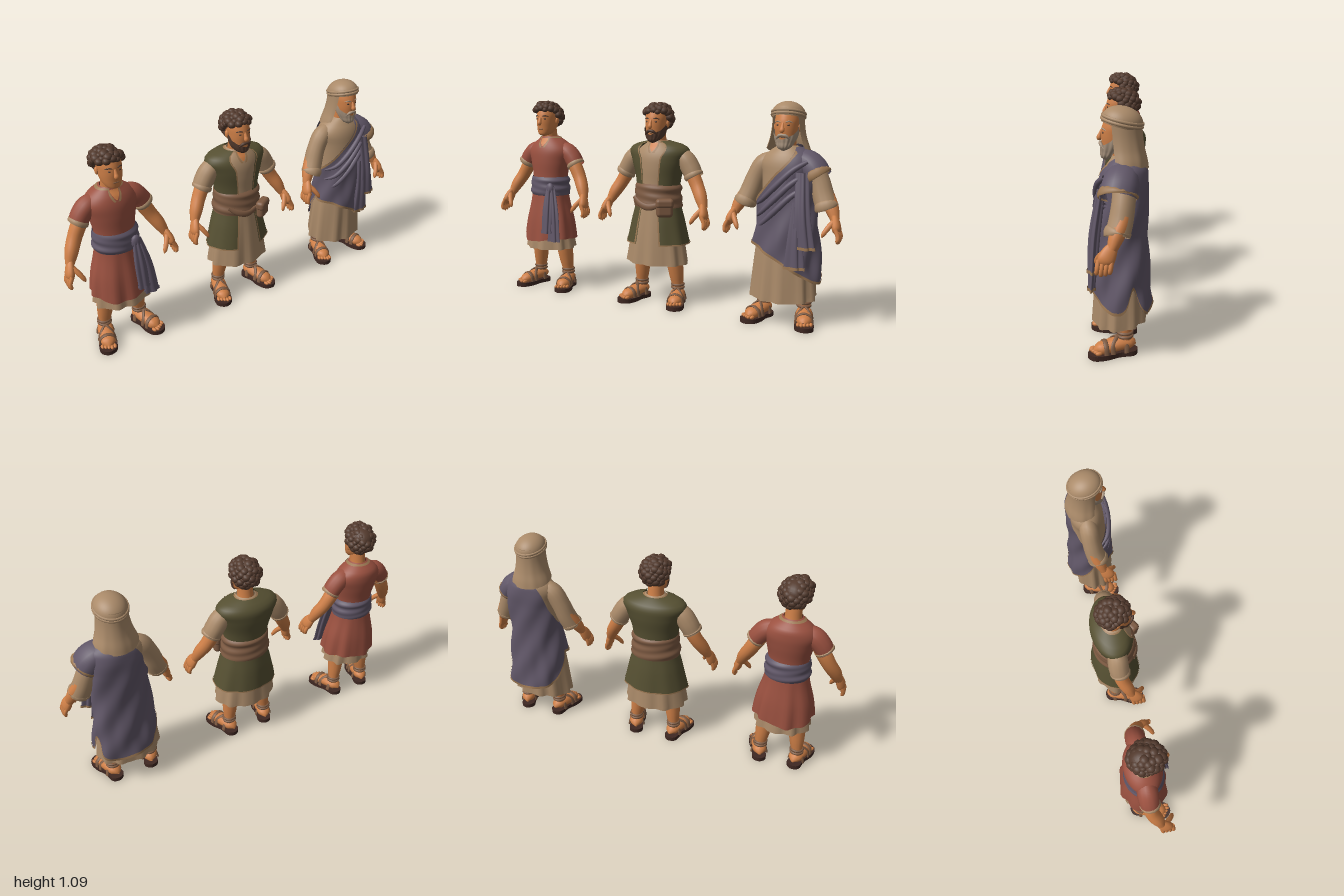
import * as THREE from 'three';
import { mergeGeometries, mergeVertices } from 'three/addons/utils/BufferGeometryUtils.js';
import { RoundedBoxGeometry } from 'three/addons/geometries/RoundedBoxGeometry.js';

const PI = Math.PI;
const paint = (name, color) => {
  const m = new THREE.MeshStandardMaterial({ color, side: THREE.DoubleSide });
  m.name = name;
  return m;
};
const skin = paint('skin', 0xce7f47), linen = paint('linen', 0xaa8a69), red = paint('red cloth', 0x9b5140),
  green = paint('green cloth', 0x565032), indigo = paint('indigo cloth', 0x615768), hair = paint('dark hair', 0x533a2d),
  leather = paint('leather', 0x7d5a42), sole = paint('sole', 0x3f2822), grey = paint('grey beard', 0xa6917c),
  trim = paint('trim', 0x9b7752);

function add(parent, name, geometry, material, x = 0, y = 0, z = 0) {
  const m = new THREE.Mesh(geometry, material);
  m.name = name;
  m.position.set(x, y, z);
  parent.add(m);
  return m;
}

// smooth curve through rows of [x, values...]
function smooth(rows) {
  const c = new THREE.CubicInterpolant(rows.map(r => r[0]), rows.flatMap(r => r.slice(1)), rows[0].length - 1);
  return x => c.evaluate(x);
}
const val = (f, t) => typeof f === 'function' ? f(t) : f;

// upright surface through ellipses [y, rx, rz, cz, cx]; angle 0 is the front, PI/2 the model's left
function shell(profile, { lo = profile[0][0], hi = profile.at(-1)[0], arc, grow = 0, fold, segs = 56, rows = 22 } = {}) {
  const at = smooth(profile), n = arc ? segs + 1 : segs, pos = [], idx = [];
  for (let i = 0; i <= rows; i++) for (let j = 0; j < n; j++) {
    const v = i / rows, [a, b] = arc ? arc(v) : [-PI / 2, 1.5 * PI], t = a + (b - a) * j / segs;
    const y = val(lo, t) + (val(hi, t) - val(lo, t)) * v;
    const [rx, rz, cz, cx = 0] = at(y), f = 1 + (fold ? fold(t, y) : 0);
    pos.push(cx + (rx + grow) * f * Math.sin(t), y, cz + (rz + grow) * f * Math.cos(t));
    if (i < rows && j < segs) {
      const p = i * n + j, q = i * n + (j + 1) % n;
      idx.push(p, q, q + n, p, q + n, p + n);
    }
  }
  const g = new THREE.BufferGeometry();
  g.setAttribute('position', new THREE.Float32BufferAttribute(pos, 3));
  g.setIndex(idx);
  g.computeVertexNormals();
  return g;
}

// tube of changing radius through points [x, y, z, r]
function limb(pts, flat = [1, 1, 1], n = 16, seg = 14) {
  const path = new THREE.CatmullRomCurve3(pts.map(p => new THREE.Vector3(p[0], p[1], p[2])));
  const radius = smooth(pts.map((p, i) => [i / (pts.length - 1), p[3]]));
  const g = new THREE.TubeGeometry(path, n, 1, seg), P = g.attributes.position, v = new THREE.Vector3();
  for (let k = 0; k < P.count; k++) {
    const u = Math.floor(k / (seg + 1)) / n, c = path.getPointAt(u), r = radius(path.getUtoTmapping(u))[0];
    v.fromBufferAttribute(P, k).sub(c).multiplyScalar(r);
    P.setXYZ(k, c.x + v.x * flat[0], c.y + v.y * flat[1], c.z + v.z * flat[2]);
  }
  g.deleteAttribute('uv');
  g.deleteAttribute('normal');
  const out = mergeVertices(g, 1e-5);
  out.computeVertexNormals();
  return out;
}
const ball = (rx, ry, rz, w = 20) => new THREE.SphereGeometry(1, w, w * 0.7 | 0).scale(rx, ry, rz);

// builds the same part on both sides
function pair(parent, name, dx, make) {
  for (const s of [1, -1]) {
    const g = new THREE.Group();
    g.name = (s > 0 ? 'left' : 'right') + name;
    g.scale.x = s;
    g.position.x = s * dx;
    make(g);
    parent.add(g);
  }
}

function addHead(f, beard, brow) {
  add(f, 'neck', shell([[0.83, 0.05, 0.05, -0.025], [0.87, 0.042, 0.043, -0.02], [0.93, 0.04, 0.042, -0.012]]), skin);
  add(f, 'head', shell([[0.882, 0.004, 0.004, 0.04], [0.888, 0.025, 0.026, 0.035], [0.905, 0.042, 0.047, 0.02], [0.935, 0.053, 0.064, 0.006],
    [0.97, 0.057, 0.072, 0], [1.01, 0.058, 0.074, -0.008], [1.05, 0.044, 0.056, -0.014], [1.07, 0.01, 0.012, -0.014]]), skin);
  add(f, 'nose', limb([[0, 0.99, 0.067, 0.006], [0, 0.97, 0.075, 0.009], [0, 0.953, 0.079, 0.012], [0, 0.945, 0.072, 0.003]]), skin);
  add(f, 'mouth', ball(0.016, 0.003, 0.005), leather, 0, 0.923, 0.067);
  pair(f, 'Face', 0, g => {
    add(g, 'eye', ball(0.009, 0.0045, 0.005), hair, 0.024, 0.98, 0.062);
    add(g, 'brow', limb([[0.012, 0.994, 0.067, 0.002], [0.026, 0.998, 0.064, 0.0035], [0.042, 0.993, 0.052, 0.002]]), brow);
    add(g, 'ear', ball(0.009, 0.02, 0.013), skin, 0.059, 0.967, -0.008);
  });
  if (!beard) return;
  const low = beard === grey ? 0.858 : 0.87;
  const top = smooth([[-1.7, 0.985], [-1.1, 0.942], [-0.4, 0.922], [0, 0.912], [0.4, 0.922], [1.1, 0.942], [1.7, 0.985]]);
  add(f, 'beard', shell([[low, 0.006, 0.006, 0.05], [low + 0.01, 0.026, 0.028, 0.042], [0.9, 0.047, 0.053, 0.022], [0.935, 0.058, 0.069, 0.008], [0.99, 0.06, 0.076, 0]],
    { arc: () => [-1.7, 1.7], hi: t => top(t)[0], fold: t => 0.025 * Math.sin(t * 15) }), beard);
  add(f, 'moustache', limb([[-0.034, 0.912, 0.06, 0.003], [-0.016, 0.93, 0.073, 0.008], [0, 0.934, 0.077, 0.006], [0.016, 0.93, 0.073, 0.008], [0.034, 0.912, 0.06, 0.003]]), beard);
}

function addCurls(f, sweep) {
  const parts = [ball(0.063, 0.06, 0.074).translate(0, 1.012, -0.026)];
  for (let i = 0; i < 110; i++) {
    const y = 1 - 2 * (i + 0.5) / 110, a = i * 2.39996, r = Math.sqrt(1 - y * y), x = r * Math.sin(a), z = r * Math.cos(a);
    if (!(y > 0.42 || (z < 0.3 && y > 0.02) || (z < -0.25 && y > -0.8))) continue;
    const s = 0.013 + 0.012 * Math.abs(Math.sin(i * 12.9)), up = Math.max(y, 0);
    parts.push(ball(s, s * 0.85, s, 10).translate(x * 0.066 - sweep * up, 1 + y * 0.064, z * 0.078 - 0.014 + sweep * up));
  }
  add(f, 'curlyHair', mergeGeometries(parts), hair);
}

function addArms(f, dx) {
  pair(f, 'Arm', dx, g => {
    add(g, 'arm', limb([[0.13, 0.79, -0.03, 0.03], [0.19, 0.71, -0.03, 0.038], [0.227, 0.645, -0.02, 0.036], [0.258, 0.59, 0.003, 0.033], [0.28, 0.54, 0.022, 0.022]]), skin);
    add(g, 'palm', limb([[0.272, 0.56, 0.014, 0.02], [0.286, 0.527, 0.034, 0.031], [0.296, 0.495, 0.048, 0.032], [0.3, 0.475, 0.053, 0.012]], [0.62, 1, 1.1]), skin);
    for (let k = 0; k < 4; k++) {
      const z = 0.022 + k * 0.018, tip = 0.432 + Math.abs(k - 1.7) * 0.007;
      add(g, 'finger', limb([[0.294, 0.505, z, 0.011], [0.31, 0.468, z + 0.005, 0.0105], [0.307, tip + 0.007, z + 0.008, 0.009], [0.303, tip, z + 0.008, 0.002]], undefined, 10, 8), skin);
    }
    add(g, 'thumb', limb([[0.28, 0.535, 0.045, 0.014], [0.258, 0.505, 0.073, 0.013], [0.241, 0.475, 0.088, 0.01], [0.237, 0.463, 0.09, 0.002]], undefined, 10, 8), skin);
  });
}

const outline = [[0, -0.09], [0.034, -0.07], [0.034, 0], [0.047, 0.06], [0.04, 0.115], [0, 0.135], [-0.038, 0.11], [-0.045, 0.05], [-0.034, 0], [-0.034, -0.07]];
function addLegs(f, dx) {
  const shape = new THREE.Shape(new THREE.CatmullRomCurve3(outline.map(p => new THREE.Vector3(p[0], p[1], 0)), true).getPoints(48).map(p => new THREE.Vector2(p.x, p.y)));
  pair(f, 'Leg', dx, g => {
    add(g, 'leg', limb([[0.075, 0.4, -0.02, 0.052], [0.084, 0.25, -0.02, 0.047], [0.093, 0.15, -0.028, 0.038], [0.099, 0.09, -0.033, 0.029], [0.1, 0.045, -0.034, 0.03]]), skin);
    const s = new THREE.Group();
    s.name = 'sandal';
    s.position.x = 0.11;
    s.rotation.y = 0.28;
    g.add(s);
    add(s, 'sole', new THREE.ExtrudeGeometry(shape, { depth: 0.022, bevelEnabled: false }).rotateX(PI / 2), sole, 0, 0.022, 0);
    add(s, 'foot', limb([[0, 0.04, -0.08, 0.006], [0, 0.05, -0.06, 0.032], [0, 0.054, -0.01, 0.04], [0, 0.045, 0.04, 0.038], [0, 0.037, 0.085, 0.034], [0, 0.032, 0.105, 0.012]], [1, 0.78, 1]), skin);
    for (let k = 0; k < 5; k++) add(s, 'toe', ball(0.009, 0.009, 0.016, 10), skin, -0.029 + k * 0.0155, 0.03, 0.112 - Math.abs(k - 1) * 0.006);
    for (const [z0, z1, h] of [[0.06, 0.06, 0.073], [0.03, -0.03, 0.09], [-0.03, 0.03, 0.09]])
      add(s, 'strap', limb([[-0.042, 0.022, z0, 0.005], [-0.034, 0.056, z0, 0.005], [0, h, (z0 + z1) / 2, 0.005], [0.034, 0.056, z1, 0.005], [0.042, 0.022, z1, 0.005]], [1, 1, 2.2]), leather);
    for (const y of [0.087, 0.104]) add(s, 'ankleStrap', new THREE.TorusGeometry(0.031, 0.007, 8, 28).rotateX(PI / 2), leather, -0.002, y, -0.034);
  });
}

// sleeve with a rolled end
function sleeve(g, cloth, end, pts, flat) {
  add(g, 'sleeve', limb(pts, flat), cloth);
  const a = new THREE.Vector3(...pts.at(-2)), b = new THREE.Vector3(...pts.at(-1)), r = pts.at(-1)[3];
  const c = a.lerp(b, 1 - 0.022 / a.distanceTo(b));
  add(g, 'cuff', limb([[c.x, c.y, c.z, r], [(c.x + b.x) / 2, (c.y + b.y) / 2, b.z, r + 0.005], [b.x, b.y, b.z, r + 0.002]], flat), end);
}

// hanging gathered cloth with an edged end
function tail(f, name, cloth, profile, end) {
  const fold = t => 0.2 * Math.sin(5 * t), y = profile[0][0];
  add(f, name, shell(profile, { fold }), cloth);
  add(f, name + 'Edge', shell(profile, { fold, hi: y + 0.014, grow: 0.003, rows: 2 }), end);
}

// narrow neck opening with an edge
function neckline(f, body) {
  const w = v => 0.03 + 0.3 * v;
  add(f, 'neckOpening', shell(body, { lo: 0.825, hi: 0.87, grow: 0.003, arc: v => [-w(v), w(v)], segs: 12 }), skin);
  for (const s of [1, -1]) add(f, 'neckEdge', shell(body, { lo: 0.818, hi: 0.87, grow: 0.005, segs: 4, arc: v => s > 0 ? [w(v), w(v) + 0.1] : [-w(v) - 0.1, -w(v)] }), trim);
  add(f, 'collar', shell(body, { lo: 0.869, hi: 0.877, grow: 0.004, rows: 3, arc: () => [0.35, 2 * PI - 0.35] }), trim);
}
const hang = (amp, n, top = 0.6) => (t, y) => amp * Math.max(0, top - y) / top * (Math.sin(n * t) + 0.5 * Math.sin((n + 5) * t + 1));
const bodyTop = [[0.6, 0.1, 0.085, -0.012], [0.66, 0.105, 0.086, -0.015], [0.74, 0.122, 0.093, -0.022], [0.8, 0.132, 0.092, -0.028], [0.84, 0.105, 0.08, -0.032], [0.865, 0.07, 0.058, -0.028], [0.88, 0.046, 0.045, -0.022]];

function youngMan() {
  const f = new THREE.Group();
  f.name = 'youngMan';
  addHead(f, null, hair); addCurls(f, 0.014); addArms(f, -0.027); addLegs(f, 0);
  const skirt = [[0.26, 0.163, 0.128, -0.005], [0.4, 0.145, 0.116, -0.008], [0.52, 0.115, 0.098, -0.01], [0.62, 0.1, 0.086, -0.012]];
  const hem = t => 0.285 + 0.018 * Math.sin(t) ** 2 + 0.008 * Math.sin(3 * t);
  add(f, 'tunic', shell(bodyTop), red);
  neckline(f, bodyTop);
  add(f, 'tunicSkirt', shell(skirt, { lo: hem, fold: hang(0.09, 8) }), red);
  add(f, 'underskirt', shell([[0.235, 0.146, 0.115, -0.005], [0.45, 0.11, 0.09, -0.01]], { fold: hang(0.1, 9) }), linen);
  pair(f, 'Sleeve', 0, g => sleeve(g, red, linen, [[0.075, 0.81, -0.03, 0.04], [0.115, 0.79, -0.03, 0.05], [0.148, 0.757, -0.029, 0.05], [0.174, 0.715, -0.026, 0.047]]));
  add(f, 'sash', shell([[0.545, 0.113, 0.098, -0.012], [0.57, 0.119, 0.104, -0.012], [0.6, 0.113, 0.099, -0.012], [0.63, 0.115, 0.1, -0.013], [0.65, 0.105, 0.09, -0.014]],
    { fold: (t, y) => 0.02 * Math.sin(y * 150 + 2 * Math.sin(t)) }), indigo);
  add(f, 'sashKnot', ball(0.026, 0.036, 0.018), indigo, 0.065, 0.585, 0.083);
  tail(f, 'sashTail', indigo, [[0.295, 0.034, 0.012, 0.123, 0.11], [0.45, 0.03, 0.014, 0.104, 0.097], [0.6, 0.016, 0.012, 0.078, 0.075]], indigo);
  tail(f, 'sashTail', indigo, [[0.34, 0.026, 0.012, 0.132, 0.066], [0.47, 0.026, 0.014, 0.112, 0.064], [0.6, 0.014, 0.012, 0.085, 0.062]], indigo);
  return f;
}

function beardedMan() {
  const f = new THREE.Group();
  f.name = 'beardedMan';
  addHead(f, hair, hair); addCurls(f, 0); addArms(f, 0); addLegs(f, 0.012);
  add(f, 'tunic', shell(bodyTop), linen);
  neckline(f, bodyTop);
  add(f, 'tunicSkirt', shell([[0.225, 0.171, 0.124, -0.008], [0.4, 0.143, 0.11, -0.01], [0.62, 0.1, 0.086, -0.012]], { fold: hang(0.07, 9) }), linen);
  pair(f, 'Sleeve', 0, g => sleeve(g, linen, linen, [[0.1, 0.81, -0.03, 0.04], [0.15, 0.785, -0.03, 0.05], [0.182, 0.74, -0.03, 0.052], [0.208, 0.692, -0.026, 0.049]]));
  const vest = [[0.335, 0.178, 0.133, -0.01], [0.45, 0.15, 0.12, -0.012], [0.58, 0.119, 0.1, -0.014], [0.68, 0.126, 0.1, -0.019], [0.78, 0.155, 0.108, -0.027], [0.835, 0.168, 0.1, -0.032], [0.862, 0.128, 0.078, -0.03], [0.877, 0.064, 0.055, -0.026]];
  const gap = v => 0.33 + 0.06 * (1 - v) + 0.25 * Math.max(0, v - 0.85) / 0.15, fold = hang(0.04, 7);
  add(f, 'vest', shell(vest, { arc: v => [gap(v), 2 * PI - gap(v)], fold, rows: 36 }), green);
  for (const s of [1, -1]) add(f, 'vestEdge', shell(vest, { arc: v => s > 0 ? [gap(v), gap(v) + 0.05] : [-gap(v) - 0.05, -gap(v)], fold, grow: 0.004, segs: 4, rows: 36 }), trim);
  add(f, 'vestHem', shell(vest, { hi: 0.342, arc: () => [gap(0), 2 * PI - gap(0)], fold, grow: 0.003, rows: 2 }), trim);
  add(f, 'beltWrap', shell([[0.53, 0.134, 0.113, -0.014], [0.56, 0.134, 0.114, -0.014], [0.6, 0.127, 0.108, -0.014], [0.64, 0.128, 0.107, -0.016], [0.655, 0.116, 0.095, -0.016]],
    { fold: (t, y) => 0.02 * Math.sin(y * 130 + 2 * Math.sin(t)) }), leather);
  add(f, 'beltEnd', limb([[-0.1, 0.58, 0.07, 0.01], [-0.05, 0.548, 0.093, 0.016], [0, 0.535, 0.1, 0.018], [0.06, 0.55, 0.092, 0.014]], [1, 1, 0.5]), leather);
  const pouch = new THREE.Group();
  pouch.name = 'pouch';
  pouch.position.set(0.095, 0.535, 0.096);
  pouch.rotation.y = 0.55;
  add(pouch, 'pouchBag', new RoundedBoxGeometry(0.088, 0.09, 0.044, 4, 0.02), leather);
  add(pouch, 'pouchFlap', new RoundedBoxGeometry(0.094, 0.05, 0.05, 4, 0.018), leather, 0, 0.027, 0.001);
  f.add(pouch);
  return f;
}

function elder() {
  const f = new THREE.Group();
  f.name = 'elder';
  addHead(f, grey, grey); addArms(f, -0.027); addLegs(f, 0.004);
  const robe = [[0.12, 0.165, 0.122, -0.01], [0.35, 0.145, 0.112, -0.014], [0.55, 0.12, 0.1, -0.018], ...bodyTop.slice(2)];
  add(f, 'robe', shell(robe, { lo: t => 0.132 - 0.012 * Math.cos(t), fold: hang(0.07, 10), rows: 36 }), linen);
  pair(f, 'Sleeve', 0, g => sleeve(g, linen, linen, [[0.075, 0.81, -0.03, 0.04], [0.118, 0.785, -0.03, 0.05], [0.158, 0.715, -0.025, 0.05], [0.183, 0.645, -0.015, 0.052], [0.207, 0.585, 0, 0.053]]));
  // cloak wrapped from the left shoulder to the right hip, fuller behind the left arm
  const cloak = [[0.2, 0.178, 0.138, -0.013], [0.35, 0.163, 0.129, -0.012], [0.55, 0.142, 0.115, -0.015], [0.7, 0.142, 0.11, -0.022], [0.8, 0.148, 0.106, -0.026], [0.845, 0.123, 0.09, -0.03], [0.874, 0.072, 0.06, -0.028]];
  const top = smooth([[-1.58, 0.58], [-0.8, 0.66], [0, 0.775], [0.6, 0.862], [1.57, 0.874], [3.14, 0.874], [3.6, 0.84], [4.1, 0.69], [4.72, 0.58]]);
  const low = smooth([[-1.58, 0.4], [-0.7, 0.38], [0, 0.33], [0.7, 0.26], [1.4, 0.215], [1.75, 0.24], [1.95, 0.33], [2.2, 0.23], [3.14, 0.205], [4, 0.25], [4.72, 0.4]]);
  const lo = t => low(t)[0], hi = t => top(t)[0];
  const fold = (t, y) => 0.035 * Math.sin(6 * t - y * 26) * Math.min(1, (0.9 - y) * 4) + hang(0.03, 9)(t, y)
    + 0.13 * Math.exp(-(((t - 2.1) / 0.55) ** 2)) * Math.min(1, Math.max(0, 0.87 - y) * 6);
  add(f, 'cloak', shell(cloak, { lo, hi, fold, segs: 110, rows: 44 }), indigo);
  add(f, 'cloakHem', shell(cloak, { lo, hi: t => lo(t) + 0.014, fold, grow: 0.003, segs: 110, rows: 3 }), trim);
  add(f, 'cloakEdge', shell(cloak, { lo: t => hi(t) - 0.014, hi, fold, grow: 0.003, arc: () => [-1.57, 0.6], rows: 3 }), trim);
  sleeve(f, indigo, trim, [[0.05, 0.815, -0.022, 0.05], [0.1, 0.802, -0.018, 0.06], [0.135, 0.775, -0.01, 0.064], [0.162, 0.735, -0.002, 0.064]], [1, 1, 1.25]);
  tail(f, 'cloakFall', indigo, [[0.4, 0.045, 0.018, 0.108, 0.13], [0.56, 0.034, 0.022, 0.098, 0.115], [0.76, 0.028, 0.016, 0.068, 0.1]], trim);
  tail(f, 'cloakFall', indigo, [[0.3, 0.045, 0.014, 0.115, 0.085], [0.45, 0.032, 0.018, 0.105, 0.085], [0.62, 0.02, 0.014, 0.088, 0.085]], trim);
  for (const d of [0, 0.06, 0.12]) add(f, 'cloakRoll', limb([[0.12, 0.81 - d, 0.055, 0.01], [0.06, 0.77 - d, 0.085, 0.014], [-0.02, 0.69 - d, 0.095, 0.015], [-0.09, 0.62 - d, 0.075, 0.012], [-0.13, 0.59 - d, 0.03, 0.004]]), indigo);
  // head cloth flaring over the shoulders
  add(f, 'headClothDrape', shell([[0.82, 0.116, 0.1, -0.033], [0.86, 0.107, 0.095, -0.032], [0.91, 0.09, 0.088, -0.027], [0.96, 0.08, 0.084, -0.023], [1.04, 0.074, 0.082, -0.02]],
    { lo: t => 0.856 + 0.028 * Math.cos(t), arc: v => [1.1 - 0.15 * v, 2 * PI - 1.1 + 0.15 * v], fold: hang(0.05, 9, 1.05) }), linen);
  const cap = new THREE.Group();
  cap.name = 'headCloth';
  cap.position.set(0, 1.024, -0.018);
  cap.rotation.x = -0.24;
  add(cap, 'crown', new THREE.SphereGeometry(1, 32, 20, 0, 2 * PI, 0, PI * 0.58).scale(0.081, 0.066, 0.091), linen);
  for (const y of [-0.004, 0.01])
    add(cap, 'headBand', new THREE.TorusGeometry(1, 0.07, 10, 40).rotateX(PI / 2).scale(0.079, 0.1, 0.089), linen, 0, y, 0);
  f.add(cap);
  return f;
}

export function createModel() {
  const model = new THREE.Group();
  model.name = 'threeRobedMen';
  [youngMan(), beardedMan(), elder()].forEach((f, i) => {
    f.position.x = (i - 1) * 0.706;
    model.add(f);
  });
  return model;
}
